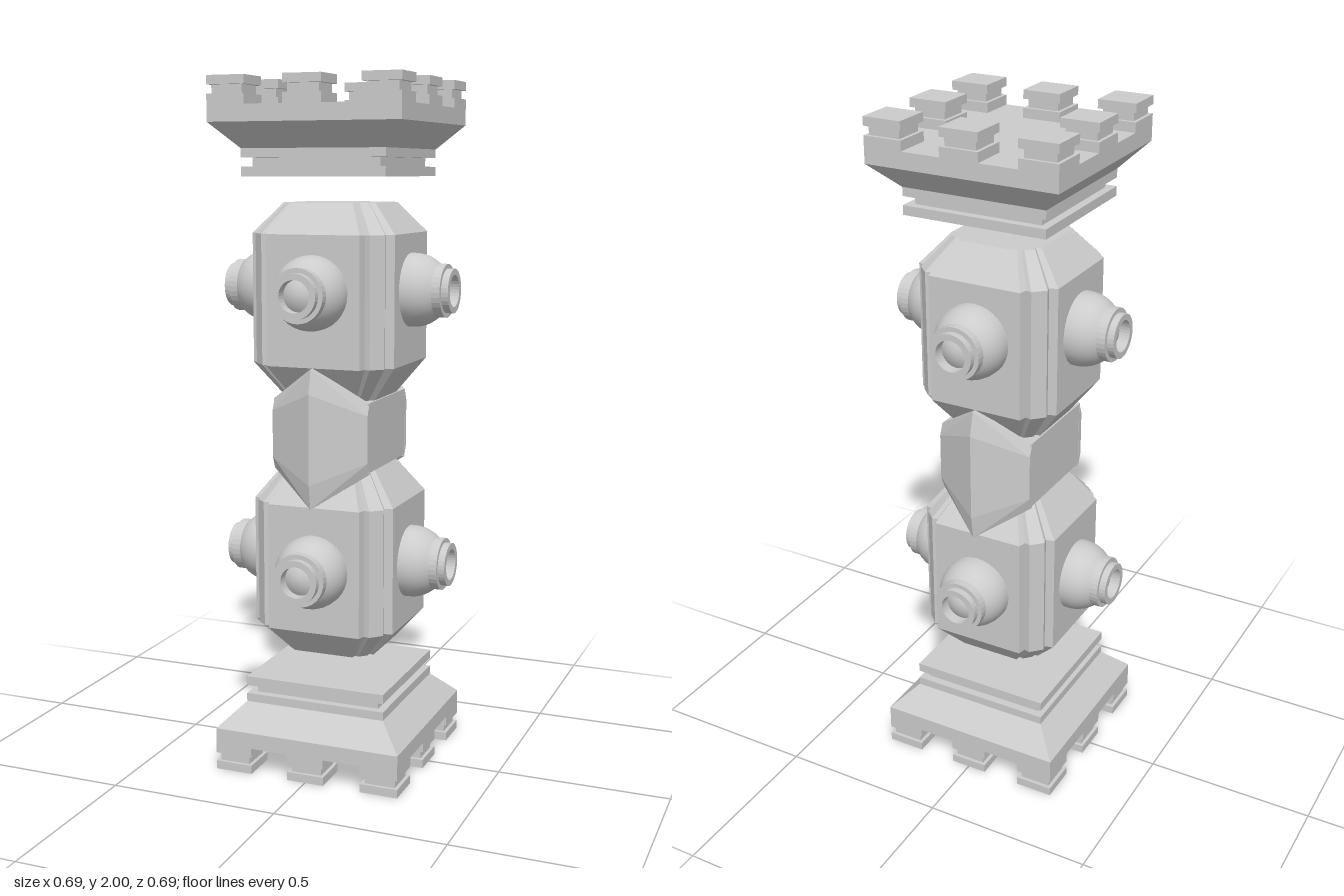
import * as THREE from 'three';
import { ConvexGeometry } from 'three/addons/geometries/ConvexGeometry.js';

const flat = new THREE.MeshStandardMaterial({ color: 0xcccccc, flatShading: true });
const smooth = new THREE.MeshStandardMaterial({ color: 0xcccccc });

// Repeats a quarter of an outline [x, z] four times around y
function fourfold(quarter) {
  const out = [];
  for (let q = 0; q < 4; q++) {
    for (const [x, z] of quarter) {
      out.push([[x, z], [z, -x], [-x, -z], [-z, x]][q]);
    }
  }
  return out;
}

// Stacks scaled copies of an outline at levels [y, scale], closed at both ends
function loft(section, levels) {
  const pos = [];
  const n = section.length;
  const at = (l, i) => {
    const [x, z] = section[i % n];
    const [y, s] = levels[l];
    return [x * s, y, z * s];
  };
  const last = levels.length - 1;
  for (let i = 0; i < n; i++) {
    for (let l = 0; l < last; l++) {
      const a = at(l, i), b = at(l, i + 1), c = at(l + 1, i + 1), d = at(l + 1, i);
      pos.push(...a, ...b, ...c, ...a, ...c, ...d);
    }
    pos.push(0, levels[0][0], 0, ...at(0, i + 1), ...at(0, i));
    pos.push(0, levels[last][0], 0, ...at(last, i), ...at(last, i + 1));
  }
  const g = new THREE.BufferGeometry();
  g.setAttribute('position', new THREE.Float32BufferAttribute(pos, 3));
  g.computeVertexNormals();
  return g;
}

function add(parent, name, geometry, material = flat) {
  const m = new THREE.Mesh(geometry, material);
  m.name = name;
  parent.add(m);
  return m;
}

const square = fourfold([[1, 1]]);

// Battlement with stepped neck, flared slab and eight merlons
function battlement(name) {
  const g = new THREE.Group();
  g.name = name;
  add(g, 'flaredSlab', loft(square, [
    [1.728, 0.214], [1.755, 0.214], [1.755, 0.19], [1.78, 0.19],
    [1.78, 0.214], [1.805, 0.214], [1.875, 0.283], [1.922, 0.283],
  ]));
  const merlon = loft(square, [
    [1.92, 0.0565], [1.95, 0.0565], [1.95, 0.046], [1.975, 0.046],
    [1.975, 0.0565], [2, 0.0565],
  ]);
  for (const x of [-1, 0, 1]) {
    for (const z of [-1, 0, 1]) {
      if (x || z) add(g, 'merlon', merlon).position.set(x * 0.2265, 0, z * 0.2265);
    }
  }
  return g;
}

// Lathe pieces of one porthole; separate pieces keep the steps crisp
function porthole() {
  const g = new THREE.Group();
  g.name = 'porthole';
  const lathe = (pts) => new THREE.LatheGeometry(pts.map(([r, y]) => new THREE.Vector2(r, y)), 32);
  const dome = [[0.105, 0.205]];
  for (let i = 0; i <= 8; i++) {
    const a = (i / 8) * 0.78;
    dome.push([0.105 * Math.cos(a), 0.226 + 0.105 * Math.sin(a)]);
  }
  add(g, 'dome', lathe(dome), smooth);
  const ring = (name, r, inner, y0, y1) => add(g, name, lathe([
    [r, y0], [r, y1], [inner, y1], [inner, y0],
  ]), flat);
  ring('outerRing', 0.076, 0.055, 0.295, 0.324);
  ring('innerRing', 0.063, 0.045, 0.3, 0.344);
  const lens = [];
  for (let i = 0; i <= 5; i++) {
    const t = 1 - i / 5;
    lens.push([0.046 * t, 0.325 - 0.015 * t * t]);
  }
  add(g, 'lens', lathe(lens), smooth);
  return g;
}

// Chamber with tapered ends, grooved corners and a porthole on each side
function chamber(name, levels, portY) {
  const g = new THREE.Group();
  g.name = name;
  const section = fourfold([
    [0.14, 0.215], [0.146, 0.19], [0.163, 0.195],
    [0.195, 0.163], [0.19, 0.146], [0.215, 0.14],
  ]);
  add(g, 'shell', loft(section, levels));
  for (let q = 0; q < 4; q++) {
    const p = porthole();
    p.rotation.set(Math.PI / 2, 0, (q * Math.PI) / 2);
    p.position.y = portY;
    g.add(p);
  }
  return g;
}

export function createModel() {
  const model = new THREE.Group();
  model.name = 'column';

  model.add(battlement('topBattlement'));
  const base = battlement('baseBattlement');
  base.rotation.x = Math.PI;
  base.position.y = 2;
  model.add(base);

  model.add(chamber('upperChamber', [[1.1, 0.65], [1.2, 1], [1.57, 1], [1.655, 0.65]], 1.41));
  model.add(chamber('lowerChamber', [[0.345, 0.65], [0.43, 1], [0.8, 1], [0.9, 0.65]], 0.615));

  // Block between the chambers
  const waist = add(model, 'waistBlock', new THREE.BoxGeometry(0.29, 0.2, 0.31));
  waist.position.y = 1;

  // Pointed shields on the front and back of the waist
  const points = [
    [0, 1.2, 0.228], [0, 1.13, 0.245], [0, 0.87, 0.245], [0, 0.8, 0.235],
    [0, 1.2, 0.21], [0, 0.8, 0.21], [0, 1.1, 0.14], [0, 0.9, 0.14],
  ];
  for (const x of [-0.146, 0.146]) {
    points.push([x, 1.1, 0.15], [x, 1.065, 0.165], [x, 0.93, 0.165], [x, 0.895, 0.15]);
  }
  const shield = new ConvexGeometry(points.map((p) => new THREE.Vector3(...p)));
  add(model, 'frontShield', shield);
  add(model, 'backShield', shield).rotation.y = Math.PI;

  return model;
}
